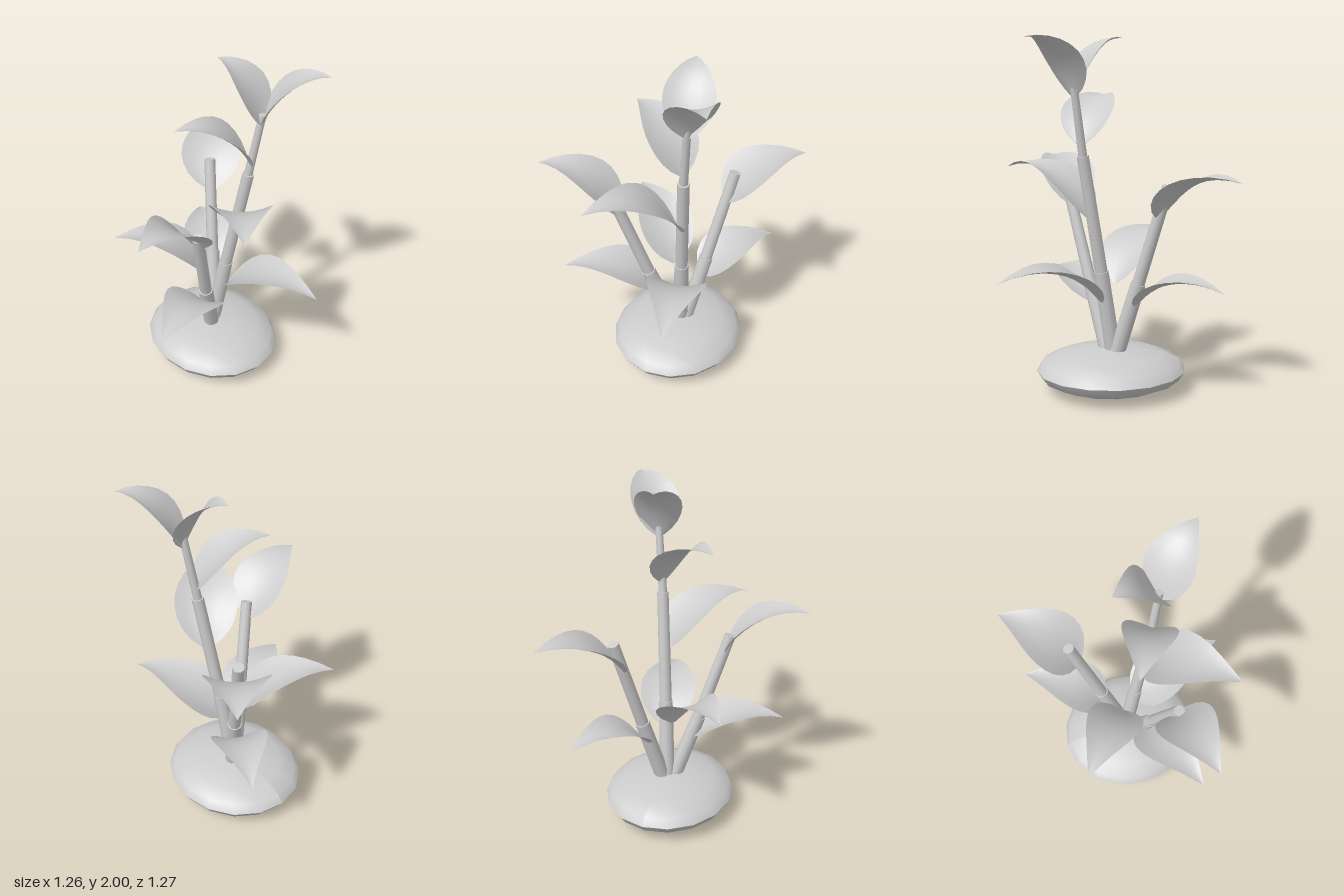
import * as THREE from 'three';

const stemGrey = new THREE.MeshStandardMaterial({ color: 0xcccccc });
stemGrey.name = 'pale grey';
stemGrey.side = THREE.DoubleSide;

const V = (p) => new THREE.Vector3(...p);

// Tapering stem piece between two points
function stemPiece(name, a, b, r0, r1) {
  const from = V(a), dir = V(b).sub(from);
  const mesh = new THREE.Mesh(new THREE.CylinderGeometry(r1, r0, dir.length(), 10), stemGrey);
  mesh.name = name;
  mesh.position.copy(from).addScaledVector(dir, 0.5);
  mesh.quaternion.setFromUnitVectors(new THREE.Vector3(0, 1, 0), dir.normalize());
  return mesh;
}

// Half-width of a leaf along its length, as a share of the widest point
const WIDTHS = [0.1, 0.5, 0.77, 0.93, 1, 0.98, 0.87, 0.69, 0.47, 0.24, 0];

// Arching, cupped leaf: rises steeply from its base, then bends over to a pointed tip
function leaf(name, base, tip, peakY, halfWidth) {
  const a = V(base), b = V(tip);
  const rise = (peakY - a.y - 0.238 * (b.y - a.y)) / 0.58;
  const control = (along, up) => {
    const p = a.clone().lerp(b, along);
    p.y = a.y + up * rise;
    return p;
  };
  const rib = new THREE.CubicBezierCurve3(a, control(0.14, 0.45), control(0.48, 1.05), b);
  const side = new THREE.Vector3(b.z - a.z, 0, a.x - b.x).normalize();
  const rows = WIDTHS.length - 1, cols = 6;
  const geo = new THREE.PlaneGeometry(1, 1, cols, rows);
  const pos = geo.attributes.position;
  for (let i = 0; i < pos.count; i++) {
    const row = Math.floor(i / (cols + 1));
    const s = ((i % (cols + 1)) / cols) * 2 - 1;
    const t = row / rows, w = WIDTHS[row] * halfWidth;
    const up = rib.getTangent(t).cross(side).normalize();
    const p = rib.getPoint(t).addScaledVector(side, s * w).addScaledVector(up, 0.22 * w * s * s);
    pos.setXYZ(i, p.x, p.y, p.z);
  }
  geo.computeVertexNormals();
  const mesh = new THREE.Mesh(geo, stemGrey);
  mesh.name = name;
  return mesh;
}

export function createModel() {
  const model = new THREE.Group();
  model.name = 'leafyPlant';

  // Flattened round base, two domes with a sharp rim
  for (const [name, start] of [['baseTop', 0], ['baseBottom', Math.PI / 2]]) {
    const geo = new THREE.SphereGeometry(1, 16, 4, 0, Math.PI * 2, start, Math.PI / 2);
    geo.scale(0.43, 0.125, 0.388);
    geo.computeVertexNormals();
    const dome = new THREE.Mesh(geo, stemGrey);
    dome.name = name;
    dome.position.set(-0.02, 0.13, -0.118);
    model.add(dome);
  }

  // Stems: joints from the ground up, with [bottom, top] radii per piece
  const stems = {
    tallStem: {
      joints: [[-0.035, 0.2, -0.13], [0.043, 0.71, -0.167], [0.15, 1.365, -0.222], [0.2, 1.74, -0.262]],
      radii: [[0.047, 0.042], [0.037, 0.034], [0.025, 0.021]],
    },
    leftStem: {
      joints: [[-0.04, 0.2, -0.15], [-0.158, 0.65, -0.233], [-0.303, 1.205, -0.33]],
      radii: [[0.047, 0.042], [0.036, 0.033]],
    },
    frontStem: {
      joints: [[-0.008, 0.2, -0.105], [0.086, 0.62, 0.03], [0.195, 1.135, 0.182]],
      radii: [[0.047, 0.042], [0.036, 0.033]],
    },
  };
  for (const [name, { joints, radii }] of Object.entries(stems)) {
    const group = new THREE.Group();
    group.name = name;
    radii.forEach(([r0, r1], i) =>
      group.add(stemPiece(name + 'Piece', joints[i], joints[i + 1], r0, r1)));
    model.add(group);
  }

  // Leaves: name, base, tip, height of the arch, half-width
  const leaves = [
    ['tallStemLowLeaf', [0.045, 0.53, -0.17], [0.63, 0.69, -0.345], 0.728, 0.17],
    ['tallStemLeftLeaf', [-0.05, 0.625, -0.08], [-0.39, 0.88, 0.335], 0.865, 0.165],
    ['tallStemMiddleLeaf', [0.12, 1.02, -0.19], [0.555, 1.28, 0.17], 1.28, 0.18],
    ['tallStemHighLeaf', [0.16, 1.42, -0.225], [-0.03, 1.69, 0.155], 1.662, 0.15],
    ['topLeftLeaf', [0.205, 1.68, -0.26], [-0.07, 2.0, -0.175], 1.935, 0.135],
    ['topRightLeaf', [0.2, 1.68, -0.26], [0.465, 1.985, -0.485], 1.935, 0.14],
    ['leftStemLowLeaf', [-0.145, 0.51, -0.22], [-0.585, 0.635, -0.49], 0.675, 0.16],
    ['leftStemHighLeaf', [-0.26, 1.02, -0.3], [-0.635, 1.245, -0.635], 1.235, 0.18],
    ['frontStemLowLeaf', [0.06, 0.49, 0.0], [0.27, 0.61, 0.51], 0.645, 0.17],
    ['frontStemHighLeaf', [0.165, 1.04, 0.165], [0.27, 1.31, 0.633], 1.29, 0.165],
  ];
  for (const spec of leaves) model.add(leaf(...spec));
  return model;
}
